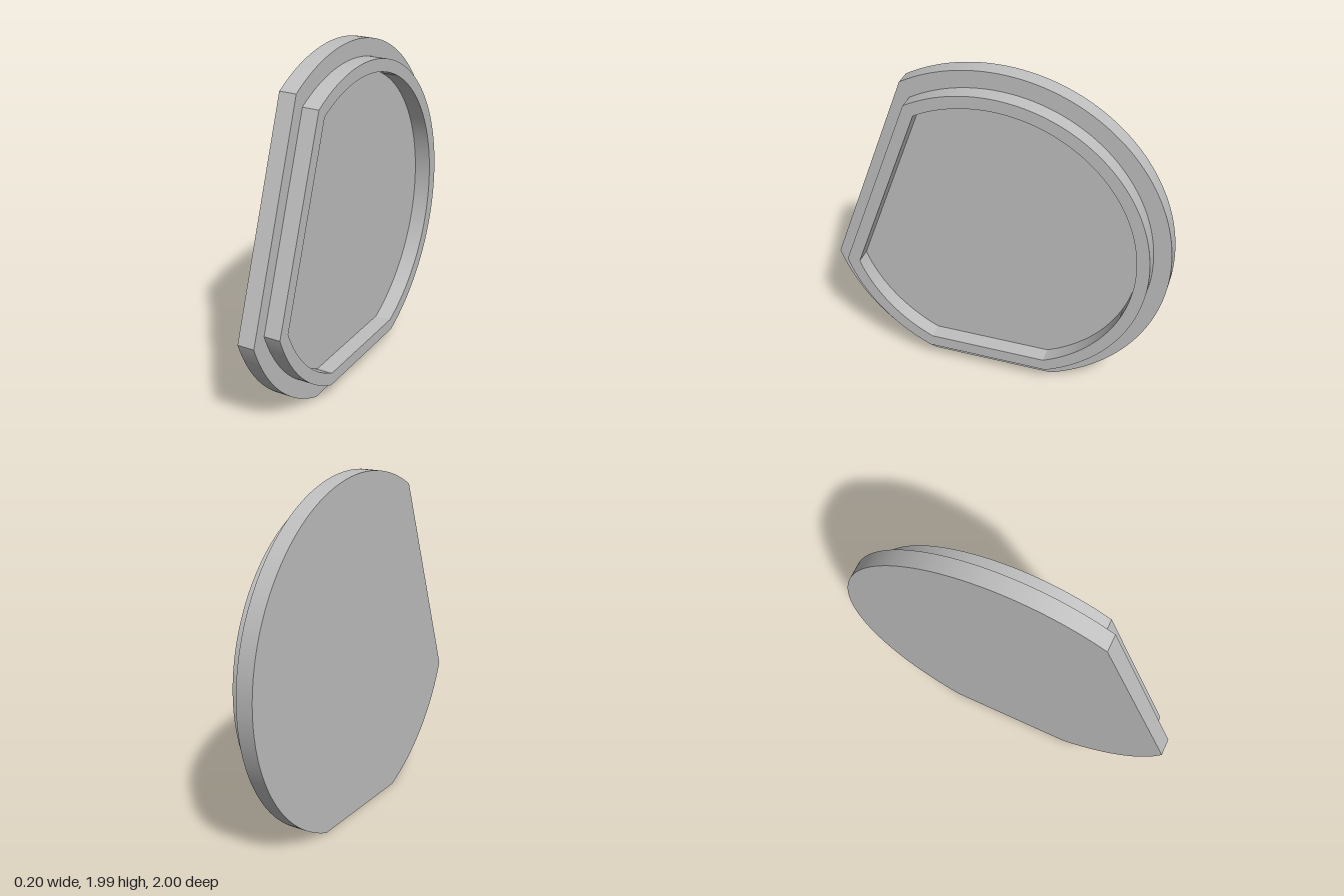
import * as THREE from 'three';
import { toCreasedNormals } from 'three/addons/utils/BufferGeometryUtils.js';

const CU = -0.03, CV = 0.96; // shared centre of all outlines (u = -z, v = y)

// Circle outline cut by a flat at the bottom and a slanted flat at the front
function outline(PathType, r, bottom, slantTop, slantLow) {
  const drop = CV - bottom;
  const half = Math.sqrt(r * r - drop * drop);
  const angle = ([u, v]) => Math.atan2(v - CV, u - CU);
  const path = new PathType();
  path.absarc(CU, CV, r, Math.atan2(-drop, half), angle(slantTop), false);
  path.absarc(CU, CV, r, angle(slantLow), Math.atan2(-drop, -half), false);
  path.closePath();
  return path;
}

// Extrude an outline along +x starting at the given x
function slab(name, shape, x, depth, material) {
  const extruded = new THREE.ExtrudeGeometry(shape, { depth, bevelEnabled: false, curveSegments: 64 });
  const mesh = new THREE.Mesh(toCreasedNormals(extruded, 0.3), material);
  mesh.name = name;
  mesh.rotation.y = Math.PI / 2;
  mesh.position.x = x;
  return mesh;
}

export function createModel() {
  const group = new THREE.Group();
  group.name = 'lid';
  const grey = new THREE.MeshStandardMaterial({ color: 0xc0c0c0 });
  grey.name = 'light grey';

  // Flat cover plate
  const plate = outline(THREE.Shape, 1.03, 0, [-0.55, 1.85], [-1.0, 0.62]);
  group.add(slab('coverPlate', plate, -0.1, 0.1, grey));

  // Raised lip set in from the plate's edge
  const lip = outline(THREE.Shape, 0.93, 0.105, [-0.495, 1.766], [-0.905, 0.65]);
  lip.holes.push(outline(THREE.Path, 0.857, 0.178, [-0.44, 1.715], [-0.827, 0.65]));
  group.add(slab('raisedLip', lip, 0, 0.097, grey));

  return group;
}
